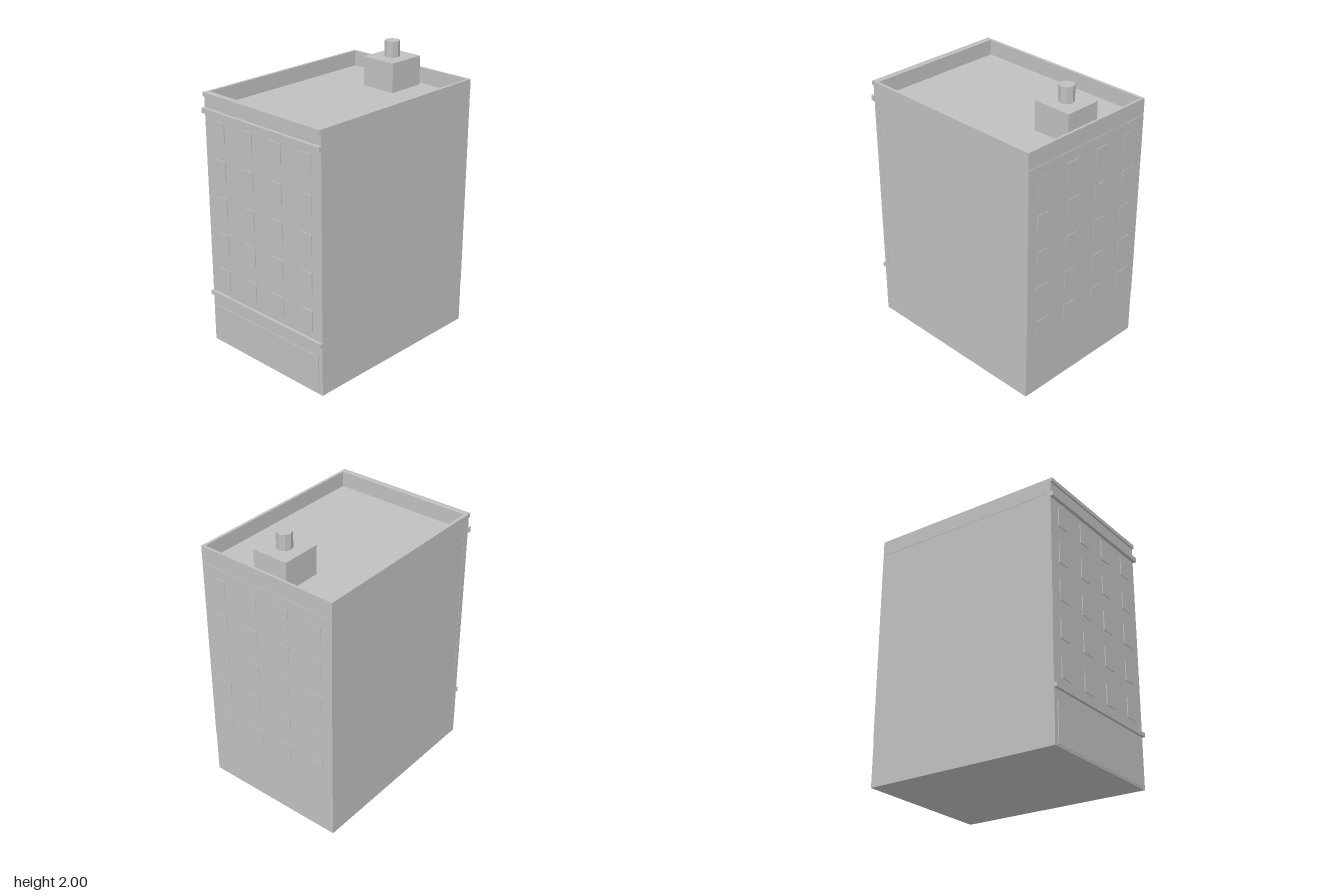
import * as THREE from 'three';

export function createModel() {
  const root = new THREE.Group();
  root.name = 'apartmentBlock';
  const grey = new THREE.MeshStandardMaterial({ color: 0xc0c0c0 });
  grey.name = 'plain grey';

  // Box given by its lower and upper limits on each axis
  function block(name, x0, x1, y0, y1, z0, z1, parent = root) {
    const geo = new THREE.BoxGeometry(x1 - x0, y1 - y0, z1 - z0);
    const mesh = new THREE.Mesh(geo, grey);
    mesh.position.set((x0 + x1) / 2, (y0 + y1) / 2, (z0 + z1) / 2);
    mesh.name = name;
    parent.add(mesh);
    return mesh;
  }

  // Main volume, with its top as the sunken roof deck
  block('body', -0.522, 0.522, 0, 1.688, -0.706, 0.65);
  block('frontFacade', -0.524, 0.524, 0, 1.688, 0.65, 0.69);
  block('backFacade', -0.522, 0.522, 0.32, 1.68, -0.709, -0.706);

  // Parapet: a rectangular ring around the roof
  const ring = new THREE.Shape();
  ring.moveTo(-0.524, -0.69).lineTo(0.524, -0.69).lineTo(0.524, 0.707).lineTo(-0.524, 0.707).closePath();
  const opening = new THREE.Path();
  opening.moveTo(-0.504, -0.66).lineTo(-0.504, 0.69).lineTo(0.504, 0.69).lineTo(0.504, -0.66).closePath();
  ring.holes.push(opening);
  const parapetGeo = new THREE.ExtrudeGeometry(ring, { depth: 0.109, bevelEnabled: false });
  parapetGeo.rotateX(-Math.PI / 2);
  const parapet = new THREE.Mesh(parapetGeo, grey);
  parapet.name = 'parapet';
  parapet.position.y = 1.688;
  root.add(parapet);

  // Horizontal mouldings on the front
  block('cornice', -0.525, 0.525, 1.77, 1.798, 0.69, 0.703);
  block('upperBand', -0.53, 0.53, 1.66, 1.695, 0.687, 0.714);
  block('lowerBand', -0.526, 0.526, 0.355, 0.385, 0.687, 0.71);

  // Ground floor panel
  block('shopFront', -0.49, 0.49, 0.01, 0.277, 0.69, 0.695);

  // Window grids, front and back
  const windows = new THREE.Group();
  windows.name = 'windows';
  root.add(windows);
  for (let row = 0; row < 5; row++) {
    const y = 0.511 + row * 0.261;
    for (const x of [-0.39, -0.13, 0.13, 0.39]) {
      block('frontWindow', x - 0.05, x + 0.05, y - 0.071, y + 0.071, 0.69, 0.696, windows);
      block('backWindow', x - 0.05, x + 0.05, y - 0.066, y + 0.05, -0.712, -0.709, windows);
    }
  }

  // Chimney and flue
  block('chimney', -0.13, 0.13, 1.688, 1.89, -0.655, -0.378);
  const flue = new THREE.Mesh(new THREE.CylinderGeometry(0.052, 0.052, 0.11, 8).toNonIndexed(), grey);
  flue.geometry.computeVertexNormals();
  flue.name = 'flue';
  flue.position.set(0, 1.945, -0.517);
  root.add(flue);

  return root;
}
